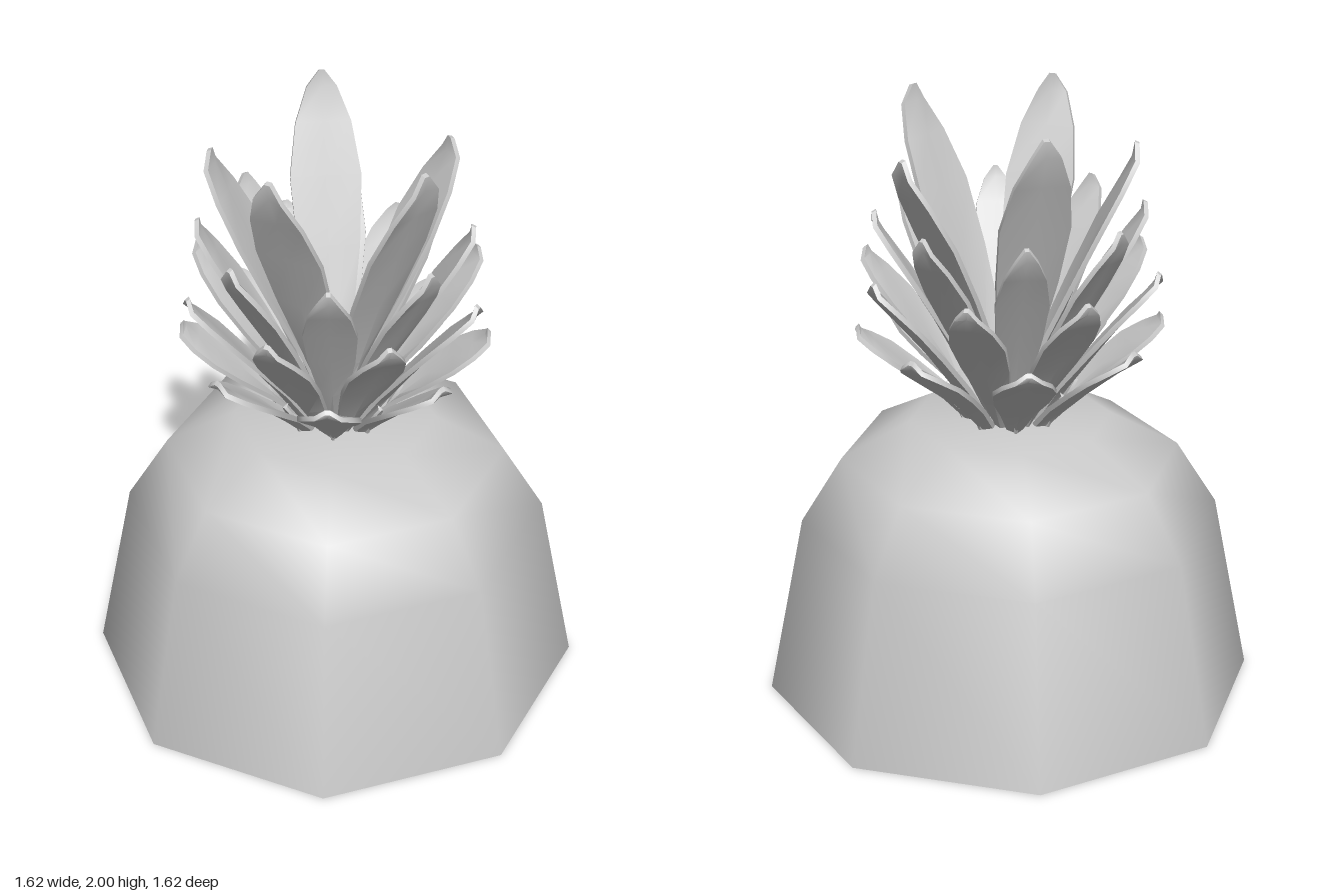
import * as THREE from 'three';
import { toCreasedNormals } from 'three/addons/utils/BufferGeometryUtils.js';

const SIDES = 8;
const BASE_Y = 0.94;

// [position along leaf, share of half width, sideways cup (+ = edges toward the axis)]
const LEAF_ROWS = [
  [0, 0.25, 0.2], [0.25, 0.55, 0.2], [0.5, 0.88, 0.12], [0.7, 1, 0.05],
  [0.85, 0.78, -0.05], [0.95, 0.42, -0.1], [1, 0.08, 0],
];

// Thin leaf leaning out toward +z, its cross-section a six-point ring per row
function leafGeometry({ r0, r1, top, half, thick = 0.016 }) {
  const height = top - BASE_Y;
  const len = Math.hypot(r1 - r0, height);
  const ny = -(r1 - r0) / len, nz = height / len; // outward normal of the leaf
  const pos = [], index = [];
  LEAF_ROWS.forEach(([t, w, cup], i) => {
    const y = BASE_Y + height * t;
    const z = r0 + (r1 - r0) * Math.pow(t, 1.08) - (t === 1 ? 0.012 : 0);
    const hw = half * w;
    [[1, -1], [0, -1], [-1, -1], [-1, 1], [0, 1], [1, 1]].forEach(([side, face]) => {
      const off = (face * thick) / 2 - Math.abs(side) * cup * half;
      pos.push(side * hw, y + ny * off, z + nz * off);
    });
    if (i === 0) return;
    for (let j = 0; j < 6; j++) {
      const a = (i - 1) * 6 + j, b = (i - 1) * 6 + ((j + 1) % 6);
      index.push(a, b, b + 6, a, b + 6, a + 6);
    }
  });
  // Tip and root caps
  const last = (LEAF_ROWS.length - 1) * 6;
  for (const [a, b, c, d] of [[0, 1, 4, 5], [1, 2, 3, 4]]) {
    index.push(last + a, last + b, last + c, last + a, last + c, last + d);
    index.push(a, c, b, a, d, c);
  }
  const geo = new THREE.BufferGeometry();
  geo.setAttribute('position', new THREE.Float32BufferAttribute(pos, 3));
  geo.setIndex(index);
  return toCreasedNormals(geo, 0.7);
}

export function createModel() {
  const model = new THREE.Group();
  model.name = 'halfPineapple';
  const material = new THREE.MeshStandardMaterial({ color: 0xcccccc });

  // Eight-sided fruit with a rounded shoulder
  const profile = [[0.81, 0], [0.69, 0.61], [0.556, 0.825], [0.33, 0.948], [0, 0.957]]
    .map(([r, y]) => new THREE.Vector2(r, y));
  const fruit = new THREE.Mesh(new THREE.LatheGeometry(profile, SIDES), material);
  fruit.name = 'fruit';
  model.add(fruit);

  // Flat cut face underneath
  const cut = new THREE.Mesh(new THREE.CircleGeometry(0.81, SIDES).rotateX(Math.PI / 2), material);
  cut.name = 'cutFace';
  model.add(cut);

  // Crown: tiers of leaves from the inside out; tops repeat round the tier
  const tiers = [
    { name: 'innerLeaf', count: 5, r0: 0.02, r1: 0.41, half: 0.115, tops: [2, 1.885, 2, 1.885, 2] },
    { name: 'upperLeaf', count: 8, r0: 0.06, r1: 0.445, half: 0.085, tops: [1.67] },
    { name: 'middleLeaf', count: 8, r0: 0.1, r1: 0.5, half: 0.09, tops: [1.49], turn: 0.5 },
    { name: 'lowerLeaf', count: 8, r0: 0.13, r1: 0.505, half: 0.1, tops: [1.285] },
    { name: 'bract', count: 8, r0: 0.15, r1: 0.22, half: 0.014, tops: [1.08], thick: 0.01 },
  ];
  const crown = new THREE.Group();
  crown.name = 'crown';
  for (const tier of tiers) {
    for (let i = 0; i < tier.count; i++) {
      const top = tier.tops[i % tier.tops.length];
      const leaf = new THREE.Mesh(leafGeometry({ ...tier, top }), material);
      leaf.name = tier.name;
      leaf.rotation.y = ((i + (tier.turn ?? 0)) / tier.count) * Math.PI * 2;
      crown.add(leaf);
    }
  }
  model.add(crown);
  return model;
}
